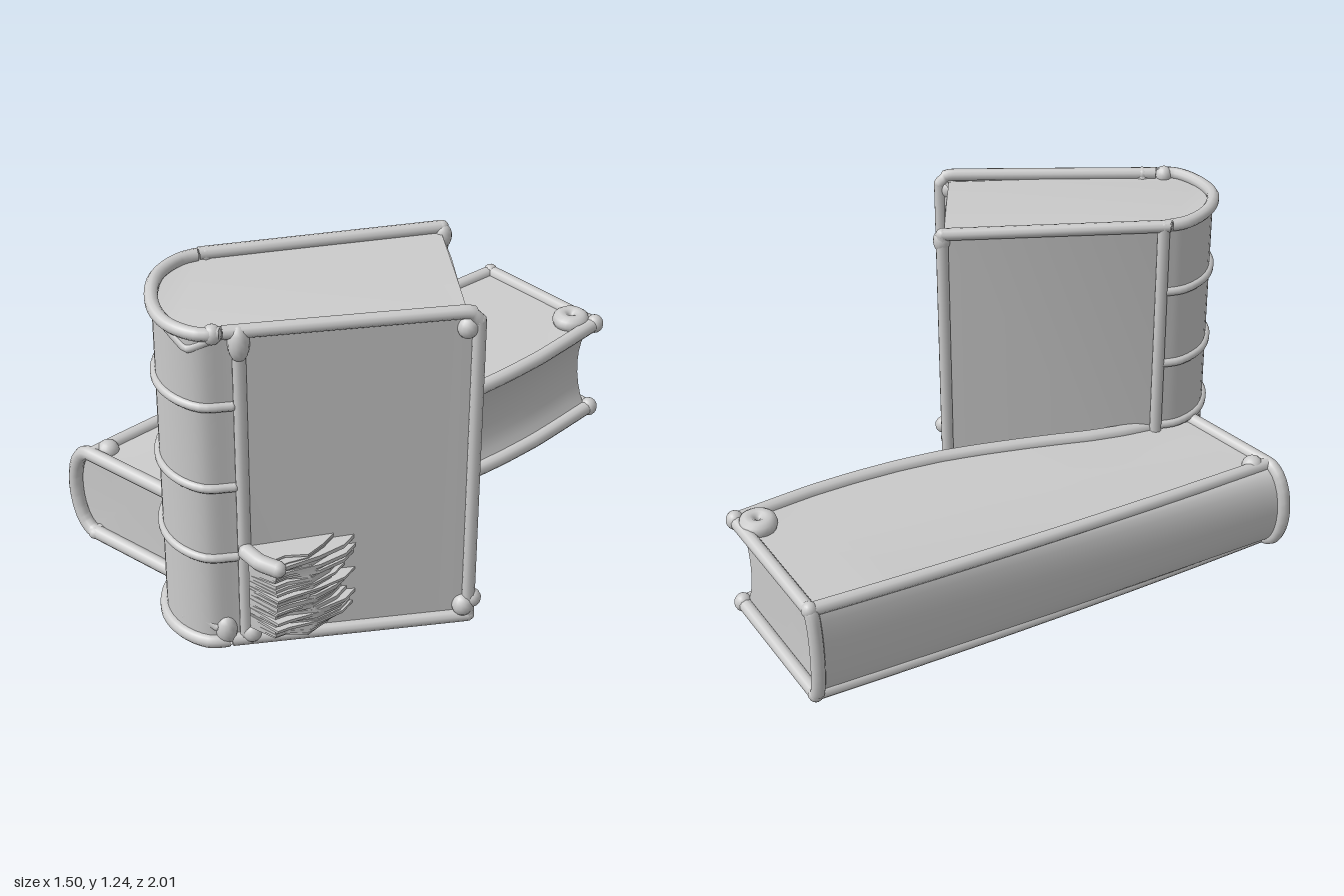
import * as THREE from 'three';
import { toCreasedNormals } from 'three/addons/utils/BufferGeometryUtils.js';

const material = new THREE.MeshStandardMaterial({ color: 0xcccccc });
const V = (x, y, z) => new THREE.Vector3(x, y, z);
const { smoothstep, lerp } = THREE.MathUtils;

let seed = 7;
const rand = () => (seed = (seed * 16807) % 2147483647) / 2147483647;

function add(group, name, geometry) {
  const mesh = new THREE.Mesh(geometry, material);
  mesh.name = name;
  group.add(mesh);
  return mesh;
}

// Rounded rim with ball ends
function rail(group, name, points, radius = 0.025, tension = 0.2) {
  const curve = new THREE.CatmullRomCurve3(points, false, 'catmullrom', tension);
  add(group, name, new THREE.TubeGeometry(curve, Math.max(12, points.length * 6), radius, 10));
  for (const p of [points[0], points[points.length - 1]]) {
    add(group, name + 'End', new THREE.SphereGeometry(radius, 10, 8)).position.copy(p);
  }
}

function knob(group, p, r = 0.034, sy = 1.1) {
  const m = add(group, 'cornerKnob', new THREE.SphereGeometry(r, 14, 10));
  m.position.copy(p);
  m.scale.y = sy;
}

// Extrudes a plan outline of [x, z] points upwards from y0 to y1
function prism(plan, y0, y1) {
  const shape = new THREE.Shape(plan.map(([x, z]) => new THREE.Vector2(x, -z)));
  const g = new THREE.ExtrudeGeometry(shape, { depth: y1 - y0, bevelEnabled: false });
  return g.rotateX(-Math.PI / 2).translate(0, y0, 0);
}

function standingBook() {
  const book = new THREE.Group();
  book.name = 'standingBook';
  const backFore = [0.42, 0.13], frontFore = [0.69, 0.525];
  const spine = new THREE.CatmullRomCurve3([
    V(-0.2, 0, 0.575), V(-0.255, 0, 0.645), V(-0.275, 0, 0.76), V(-0.225, 0, 0.89),
    V(-0.135, 0, 0.962), V(-0.03, 0, 0.978), V(0.05, 0, 0.93),
  ]).getPoints(24).map((p) => [p.x, p.z]);
  const cover = [backFore, ...spine, [0.645, 0.554], [0.675, 0.535], frontFore];
  // Height of the top rim: lower at the front, rounded off at the fore corner
  const topY = (x, z) => 1.228 - 0.028 * smoothstep(z + x * 0.6, 0.6, 0.9)
    - 0.04 * smoothstep(x, 0.64, 0.7) ** 2;

  // Covers, spine and pages, with a slightly hollow fore edge
  const pages = [[0.645, 0.515], [0.585, 0.415], [0.51, 0.285], [0.435, 0.165]];
  const body = prism([...cover, ...pages], 0.025, 1.2);
  const pos = body.attributes.position;
  for (let i = 0; i < pos.count; i++) {
    if (pos.getY(i) > 1) pos.setY(i, topY(pos.getX(i), pos.getZ(i)) - 0.012);
  }
  add(book, 'coversAndPages', toCreasedNormals(body, 0.6));

  // Rims along the top and bottom of the covers
  rail(book, 'topRim', cover.map(([x, z]) => V(x, topY(x, z), z)), 0.022);
  rail(book, 'bottomRim', cover.map(([x, z]) => V(x, 0.035, z)), 0.024);

  // Upright rims at the fore edges and hinges
  for (const [x, z] of [backFore, frontFore, [-0.2, 0.575], [0.072, 0.915]]) {
    const top = topY(x, z);
    rail(book, 'uprightRim', [V(x, 0.035, z), V(x, 0.6, z), V(x, top, z)], 0.022);
  }

  // Raised bands across the spine
  for (const y of [0.38, 0.65, 0.95]) {
    rail(book, 'spineBand', spine.map(([x, z], i) => V(x, y + 0.012 - i * 0.001, z)), 0.016);
  }

  // Worn leather knobs at the corners
  knob(book, V(0.425, 1.2, 0.135), 0.03, 1.4);
  knob(book, V(0.425, 0.05, 0.135), 0.03);
  knob(book, V(0.66, 1.145, 0.543), 0.034);
  knob(book, V(0.675, 0.08, 0.535), 0.037);
  knob(book, V(0.7, 0.1, 0.515), 0.03);
  knob(book, V(0.075, 1.16, 0.92), 0.034, 1.8);
  knob(book, V(0.005, 1.195, 0.955), 0.03);
  knob(book, V(0.015, 0.075, 0.945), 0.036, 1.5);
  knob(book, V(0.09, 0.06, 0.91), 0.032);
  rail(book, 'tornSpineFold', [V(0.0, 1.18, 0.96), V(-0.07, 1.14, 0.972), V(-0.15, 1.19, 0.95)], 0.016);
  rail(book, 'tornSpineFold', [V(-0.01, 0.09, 0.965), V(-0.07, 0.12, 0.965), V(-0.13, 0.09, 0.95)], 0.014);

  // Torn flap on the front cover: thin ragged layers that splay out
  for (let i = 0; i < 30; i++) {
    const y = 0.1 + i * 0.0105;
    const r = rand() * 0.07 - 0.01, s = rand() * 0.03;
    const flap = [[0.08, 0.885], [0.1, 0.945], [0.22 - s, 0.985 - s], [0.245 - s, 0.95 - s],
      [0.285 + r * 0.5, 0.89 - r * 0.4], [0.31 + r, 0.82 - r * 0.6], [0.32 + r, 0.745 - r * 0.6]];
    const layer = prism(flap, y, y + 0.006 + rand() * 0.01);
    const p = layer.attributes.position;
    for (let k = 0; k < p.count; k++) p.setY(k, p.getY(k) + (p.getX(k) - 0.2) * (y - 0.25) * 0.5);
    add(book, 'tornLayer', layer);
  }
  rail(book, 'rolledFlapEdge', [V(0.09, 0.4, 0.935), V(0.15, 0.398, 0.965), V(0.21, 0.39, 0.965)], 0.028);
  return book;
}

function lyingBook() {
  const book = new THREE.Group();
  book.name = 'lyingBook';
  const fore = new THREE.CatmullRomCurve3([
    V(-0.265, 0, 0.715), V(-0.08, 0, 0.45), V(0.13, 0, 0.22),
    V(0.365, 0, -0.06), V(0.57, 0, -0.4), V(0.715, 0, -0.735),
  ]);
  const low = (s) => 0.037 + 0.035 * s;
  const high = (s) => 0.365 + 0.07 * s;
  const bulge = (s) => 0.03 + 0.07 * (1 - s) ** 2;
  // Hinge line of the spine, and a point t of the way across the cover
  const hinge = (s) => V(-0.73 + 0.935 * s, 0, 0.58 - 1.56 * s)
    .addScaledVector(V(0.86, 0, 0.3), bulge(s));
  const across = (s, t, y) => {
    const p = hinge(s).lerp(fore.getPoint(s), t);
    p.y = y + 0.015 * s * t;
    return p;
  };
  const spinePoint = (s, a) => {
    const mid = (low(s) + high(s)) / 2, half = (high(s) - low(s)) / 2;
    const out = Math.pow(Math.abs(Math.cos(a)), 0.9) * bulge(s);
    return hinge(s).addScaledVector(V(-0.86, 0, -0.3), out).setY(mid + half * Math.sin(a));
  };

  // Cross-section: flat covers, hollow fore edge, rounded spine
  const section = (s) => {
    const pts = [0, 0.5].map((t) => across(s, t, low(s)));
    for (let k = 0; k <= 8; k++) {
      const v = k / 8;
      const dip = Math.pow(Math.sin(Math.PI * v), 0.7) * (0.04 + 0.06 * s);
      pts.push(across(s, 1 - dip, lerp(low(s), high(s), v)));
    }
    pts.push(across(s, 0.5, high(s)), across(s, 0, high(s)));
    for (let k = 1; k < 12; k++) pts.push(spinePoint(s, Math.PI / 2 - (k / 12) * Math.PI));
    return pts;
  };

  const N = 28, rings = [];
  for (let i = 0; i <= N; i++) rings.push(section(0.01 + 0.98 * (i / N)));
  const M = rings[0].length, pos = [], idx = [];
  rings.flat().forEach((p) => pos.push(p.x, p.y, p.z));
  for (let i = 0; i < N; i++) {
    for (let j = 0; j < M; j++) {
      const a = i * M + j, b = i * M + (j + 1) % M;
      idx.push(a, a + M, b, b, a + M, b + M);
    }
  }
  // Page ends at the tail and head
  [0, N].forEach((i) => {
    const c = rings[i].reduce((sum, p) => sum.add(p), V(0, 0, 0)).divideScalar(M);
    const ci = pos.length / 3;
    pos.push(c.x, c.y, c.z);
    for (let j = 0; j < M; j++) {
      const a = i * M + j, b = i * M + (j + 1) % M;
      if (i === 0) idx.push(ci, a, b);
      else idx.push(ci, b, a);
    }
  });
  const body = new THREE.BufferGeometry();
  body.setAttribute('position', new THREE.Float32BufferAttribute(pos, 3));
  body.setIndex(idx);
  add(book, 'coversAndPages', toCreasedNormals(body, 0.6));

  // Rims along the hinges and fore edges
  const steps = [...Array(13).keys()].map((i) => i / 12);
  for (const y of [low, high]) {
    rail(book, 'hingeRim', steps.map((s) => across(s, 0, y(s))), 0.024);
    rail(book, 'foreEdgeRim', steps.map((s) => across(s, 1, y(s))), 0.026);
  }
  // Rims that wrap the cover ends and the spine at tail and head
  for (const s of [0, 1]) {
    const path = [across(s, 1, low(s)), across(s, 0.5, low(s))];
    for (let k = 0; k <= 12; k++) path.push(spinePoint(s, -Math.PI / 2 + (k / 12) * Math.PI));
    path.push(across(s, 0.5, high(s)), across(s, 1, high(s)));
    rail(book, 'endRim', path, 0.025);
  }

  // Worn leather knobs at the corners
  knob(book, across(0.03, 0.05, high(0) + 0.005), 0.038, 0.9);
  knob(book, across(0, 0, low(0)), 0.03, 0.8);
  for (const y of [low(1), high(1)]) {
    knob(book, across(1, 0, y), 0.028);
    knob(book, across(1, 1, y), 0.032);
  }
  const curl = add(book, 'curledCorner', new THREE.TorusGeometry(0.036, 0.032, 10, 24));
  curl.position.copy(across(0.97, 0.87, high(1) + 0.012));
  curl.rotation.x = Math.PI / 2;
  return book;
}

export function createModel() {
  const model = new THREE.Group();
  model.name = 'twoBooks';
  model.add(standingBook(), lyingBook());
  return model;
}
